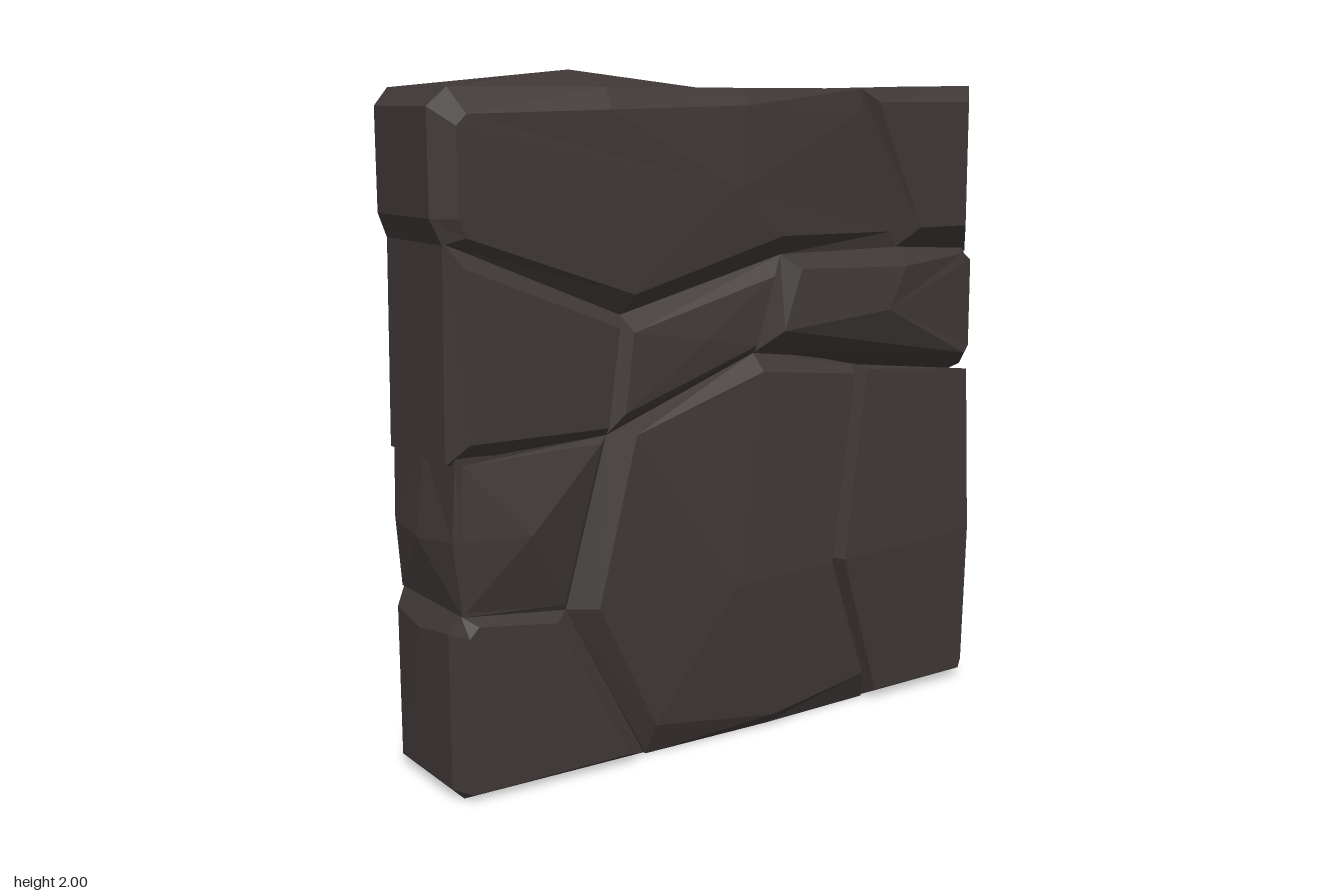
import * as THREE from 'three';

const stoneMaterial = new THREE.MeshStandardMaterial({ color: 0x3e3736, flatShading: true });
stoneMaterial.name = 'dark stone';

const JOINT = 0.18; // half depth of the grooves between stones
const FACE = 0.23; // usual half depth of a stone face

// One stone: rings run counter-clockwise from the middle plane (z = 0) through
// the groove outline and the bevelled face to a peak; then mirrored to the back.
function makeStone(name, { outline, face, peak, middle = {} }) {
  const rings = [
    outline.map((p, i) => [...(middle[i] ?? p).slice(0, 2), middle[i]?.[2] ?? 0]),
    outline.map(([x, y, z = JOINT]) => [x, y, z]),
    face.map(([x, y, z = FACE]) => [x, y, z]),
    face.map(() => peak),
  ];
  const positions = [];
  const addTriangle = (a, b, c) => {
    positions.push(...a, ...b, ...c);
    for (const [x, y, z] of [a, c, b]) positions.push(x, y, -z);
  };
  for (let r = 0; r < 3; r++) {
    for (let i = 0; i < outline.length; i++) {
      const j = (i + 1) % outline.length;
      addTriangle(rings[r][i], rings[r][j], rings[r + 1][j]);
      if (r < 2) addTriangle(rings[r][i], rings[r + 1][j], rings[r + 1][i]);
    }
  }
  const geometry = new THREE.BufferGeometry();
  geometry.setAttribute('position', new THREE.Float32BufferAttribute(positions, 3));
  geometry.computeVertexNormals();
  const mesh = new THREE.Mesh(geometry, stoneMaterial);
  mesh.name = name;
  return mesh;
}

export function createModel() {
  const wall = new THREE.Group();
  wall.name = 'stoneWall';

  // Top course
  wall.add(makeStone('topLongStone', {
    outline: [[-1, 1.61, 0.16], [-0.97, 1.54, 0.17], [-0.43, 1.32], [0.14, 1.46], [0.6, 1.46],
      [0.44, 1.95, 0.19], [-0.02, 1.95, 0.2], [-0.48, 1.95, 0.2], [-0.95, 1.95, 0.18], [-1, 1.9, 0.16]],
    face: [[-0.94, 1.61, 0.21], [-0.92, 1.56, 0.21], [-0.41, 1.38], [0.11, 1.52, 0.235], [0.57, 1.51, 0.19],
      [0.43, 1.88, 0.2], [-0.02, 1.9], [-0.48, 1.89], [-0.91, 1.88, 0.21], [-0.94, 1.85, 0.21]],
    peak: [-0.06, 1.66, 0.245],
    middle: { 7: [-0.48, 2] },
  }));
  wall.add(makeStone('topCornerStone', {
    outline: [[0.6, 1.46], [0.92, 1.43, 0.16], [0.92, 1.96, 0.16], [0.44, 1.95, 0.19]],
    face: [[0.66, 1.52], [0.85, 1.52, 0.235], [0.85, 1.91, 0.235], [0.49, 1.91, 0.22]],
    peak: [0.72, 1.7, 0.235],
    middle: { 1: [0.92, 1.57] },
  }));

  // Middle course
  wall.add(makeStone('middleEndStone', {
    outline: [[-0.98, 0.95, 0.17], [-0.48, 0.98], [-0.43, 1.32], [-0.97, 1.55, 0.17]],
    face: [[-0.93, 1.01, 0.22], [-0.5, 1.01], [-0.46, 1.29], [-0.93, 1.48, 0.22]],
    peak: [-0.7, 1.2, 0.23],
  }));
  wall.add(makeStone('middleSmallStone', {
    outline: [[-0.48, 0.98], [0.04, 1.17], [0.14, 1.46], [-0.43, 1.32]],
    face: [[-0.43, 1.04, 0.21], [0.02, 1.2, 0.23], [0.09, 1.4, 0.22], [-0.4, 1.27, 0.21]],
    peak: [-0.16, 1.23, 0.23],
  }));
  wall.add(makeStone('middleLongStone', {
    outline: [[0.04, 1.17], [0.9, 1.06, 0.17], [0.92, 1.1, 0.16], [0.92, 1.42, 0.16], [0.9, 1.44, 0.17],
      [0.6, 1.46], [0.14, 1.46]],
    face: [[0.1, 1.24, 0.26], [0.84, 1.11, 0.25], [0.87, 1.13, 0.24], [0.87, 1.41, 0.24], [0.83, 1.43, 0.24],
      [0.55, 1.41, 0.29], [0.17, 1.42, 0.25]],
    peak: [0.48, 1.28, 0.295],
    middle: { 1: [0.9, 0.98], 2: [0.92, 1], 3: [0.92, 1.53], 4: [0.9, 1.55] },
  }));

  // Lower course
  wall.add(makeStone('lowerPointedStone', {
    outline: [[-0.95, 0.53, 0.19], [-0.62, 0.49], [-0.48, 0.98], [-0.96, 0.97, 0.19], [-0.97, 0.74, 0.18]],
    face: [[-0.94, 0.54, 0.19], [-0.63, 0.51, 0.19], [-0.5, 0.96, 0.19], [-0.94, 0.95, 0.19], [-0.95, 0.74, 0.195]],
    peak: [-0.76, 0.74, 0.245],
    middle: { 4: [-0.99, 0.72] },
  }));
  wall.add(makeStone('bottomEndStone', {
    outline: [[-0.95, 0, 0.17], [-0.36, 0], [-0.62, 0.49], [-0.95, 0.53, 0.18], [-0.98, 0.48, 0.16], [-0.98, 0.03, 0.16]],
    face: [[-0.94, 0.02, 0.21], [-0.44, 0.03, 0.23], [-0.67, 0.47, 0.22], [-0.91, 0.5, 0.21], [-0.94, 0.47, 0.21],
      [-0.94, 0.04, 0.21]],
    peak: [-0.74, 0.26, 0.225],
    middle: { 4: [-0.99, 0.46] },
  }));
  wall.add(makeStone('lowerLargeStone', {
    outline: [[-0.36, 0, 0.19], [0.08, 0, 0.2], [0.48, 0, 0.19], [0.31, 0.5, 0.2], [0.43, 1.1], [0.04, 1.17],
      [-0.48, 0.98], [-0.62, 0.49]],
    face: [[-0.35, 0.1, 0.235], [0.08, 0.04, 0.24], [0.44, 0.1, 0.24], [0.29, 0.5, 0.265], [0.4, 1.08, 0.23],
      [0.04, 1.12, 0.235], [-0.41, 0.98, 0.235], [-0.54, 0.49, 0.235]],
    peak: [-0.08, 0.49, 0.277],
  }));
  wall.add(makeStone('lowerSideStone', {
    outline: [[0.48, 0], [0.89, 0, 0.17], [0.92, 0.05, 0.16], [0.92, 0.52, 0.17], [0.91, 1.04, 0.16], [0.43, 1.1],
      [0.31, 0.5, 0.2]],
    face: [[0.5, 0.03, 0.235], [0.87, 0.03, 0.235], [0.88, 0.06, 0.235], [0.88, 0.52, 0.25], [0.88, 1.05, 0.225],
      [0.45, 1.09, 0.23], [0.34, 0.5, 0.265]],
    peak: [0.6, 0.51, 0.265],
    middle: { 3: [1, 0.52, 0], 4: [0.91, 0.99] },
  }));

  return wall;
}
